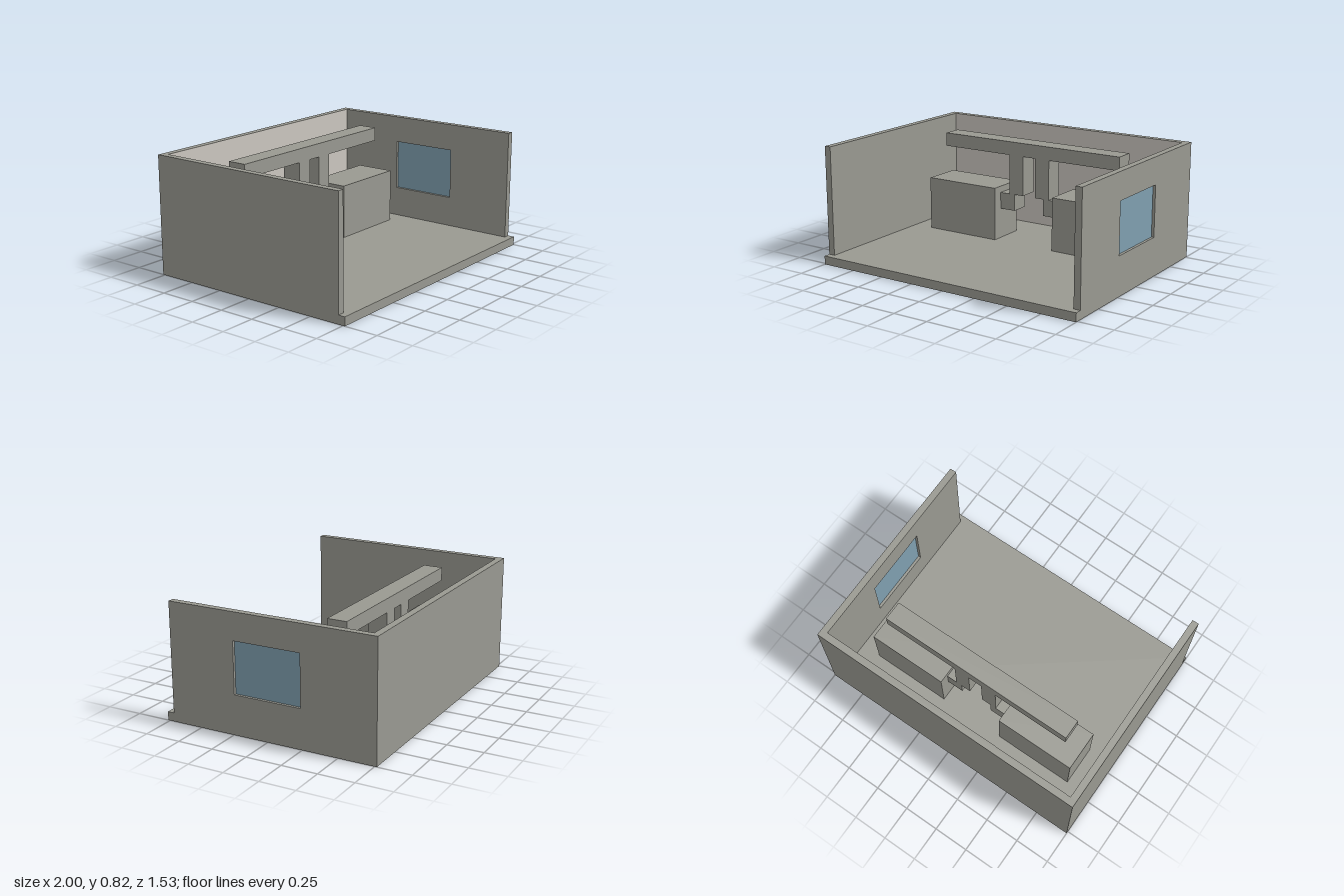
import * as THREE from 'three';

export function createModel() {
  const room = new THREE.Group();
  room.name = 'room';

  const grey = new THREE.MeshStandardMaterial({ color: 0x999991 });
  grey.name = 'warm grey';
  const cream = new THREE.MeshStandardMaterial({ color: 0xcbc7bf });
  cream.name = 'pale plaster';
  const blue = new THREE.MeshStandardMaterial({ color: 0x7f9fb0 });
  blue.name = 'window blue';

  // Box given by its extents along each axis
  function box(name, [x0, x1], [y0, y1], [z0, z1], material = grey) {
    const mesh = new THREE.Mesh(new THREE.BoxGeometry(x1 - x0, y1 - y0, z1 - z0), material);
    mesh.position.set((x0 + x1) / 2, (y0 + y1) / 2, (z0 + z1) / 2);
    mesh.name = name;
    room.add(mesh);
    return mesh;
  }

  const W = 1, D = 0.765, H = 0.823, floorTop = 0.06, wall = 0.047;
  const backInner = -0.717, wallFront = 0.717;

  // Floor and back wall (plastered on its inner, +z face)
  box('floor', [-W, W], [0, floorTop], [-D, D]);
  box('backWall', [-W, W], [floorTop, H], [-D, backInner], [grey, grey, grey, grey, cream, grey]);

  // Solid side wall
  box('rightWall', [-W, -W + wall], [floorTop, H], [backInner, wallFront]);

  // Side wall with a window opening; the shape's x runs along -z
  const rect = (Type, x0, x1, y0, y1) => {
    const path = new Type();
    path.moveTo(x0, y0).lineTo(x1, y0).lineTo(x1, y1).lineTo(x0, y1).closePath();
    return path;
  };
  const outline = rect(THREE.Shape, -wallFront, -backInner, floorTop, H);
  outline.holes.push(rect(THREE.Path, -0.24, 0.24, 0.275, 0.633));
  const windowWall = new THREE.Mesh(
    new THREE.ExtrudeGeometry(outline, { depth: wall, bevelEnabled: false }), grey);
  windowWall.rotation.y = Math.PI / 2;
  windowWall.position.x = W - wall;
  windowWall.name = 'leftWall';
  room.add(windowWall);

  // Glass set in the middle of the opening
  box('windowPane', [0.972, 0.981], [0.275, 0.633], [-0.24, 0.24], blue);

  // Mirrored cabinets, brackets and posts
  for (const [side, s] of [['left', 1], ['right', -1]]) {
    const span = (a, b) => (s > 0 ? [a, b] : [-b, -a]);
    box(side + 'Cabinet', span(0.238, 0.81), [floorTop, 0.442], [-0.478, -0.195]);
    box(side + 'Bracket', span(0.12, 0.238), [0.277, 0.396], [-0.408, -0.27]);
    box(side + 'Post', span(0.05, 0.163), [0.396, 0.68], [-0.408, -0.27]);
  }

  // Long beam carried by the posts
  box('beam', [-0.714, 0.714], [0.68, 0.776], [-0.408, -0.27]);

  return room;
}
